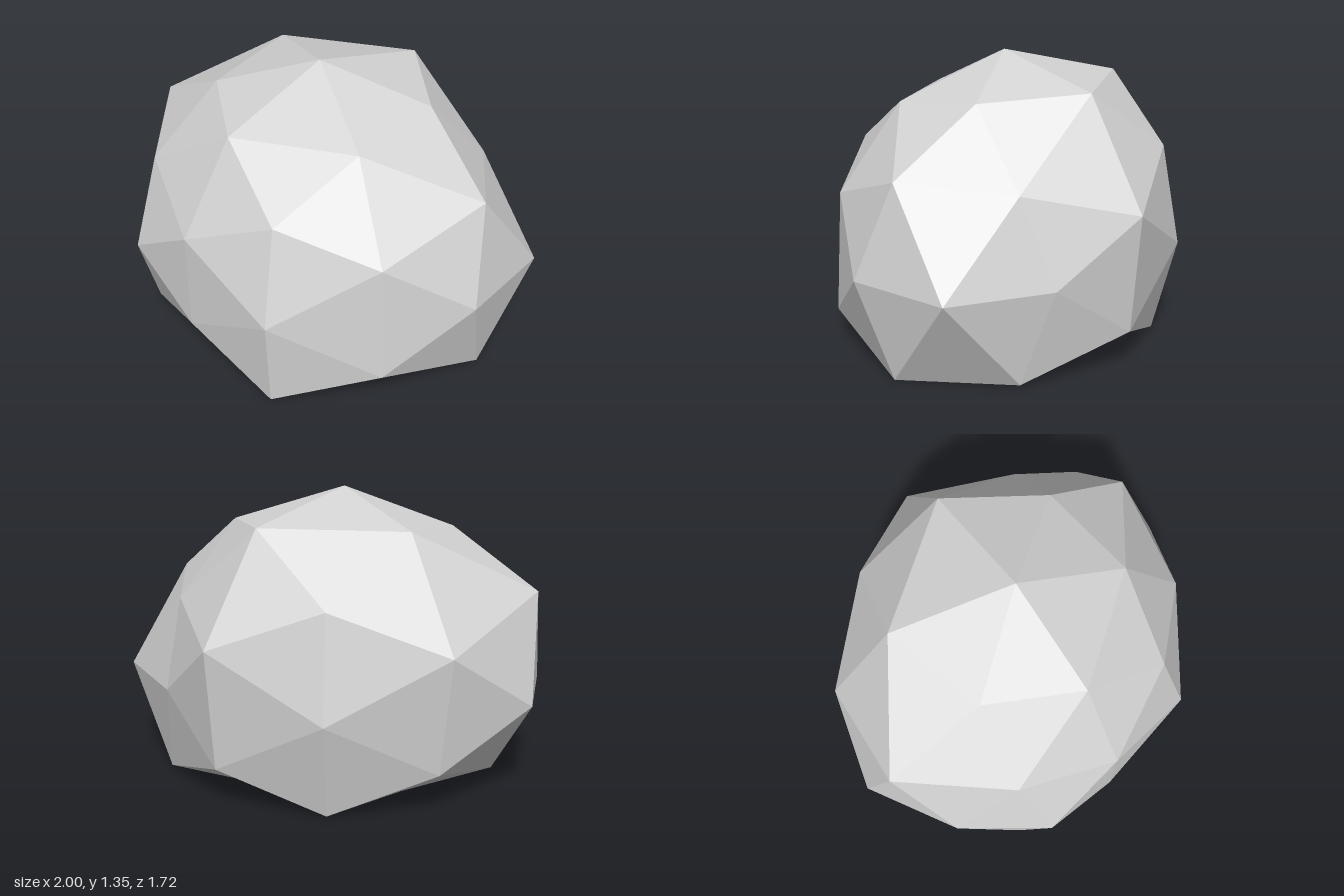
import * as THREE from 'three';

// Distance of each corner from the core, grouped by direction pattern.
// Order inside a group: sign octant = (x<0) + 2*(y<0) + 4*(z<0).
const RADII = {
  '10,0,0': [0.924, 0.815],
  '0,10,0': [0.903, 0, 0.87],
  '0,0,10': [0.858, 0, 0, 0, 0.858],
  '5,9,0': [0.87, 0.85, 0.87, 0.86],
  '0,5,9': [0.842, 0, 0.962, 0, 0.907, 0, 0.878],
  '9,0,5': [0.882, 0.818, 0, 0, 0.798, 0.904],
  '3,8,5': [0.85, 0.843, 0.97, 0.87, 0.957, 0.952, 0.87, 0.87],
  '8,5,3': [0.905, 0.808, 0.93, 0.85, 0.803, 0.967, 0.87, 0.777],
  '5,3,8': [0.827, 0.786, 0.86, 0.786, 0.918, 0.9, 0.868, 0.845],
};

// Small offsets for corners that sit off their ray
const NUDGE = {
  '5,3,8/0': [0, 0.024, 0],
  '5,3,8/2': [0, -0.03, 0],
  '5,3,8/5': [-0.018, 0, 0],
};

const CORE = new THREE.Vector3(-0.0625, 0.447, 0);
const STRETCH = new THREE.Vector3(1.15, 1, 1);

function placeCorner(dir) {
  const steps = dir.toArray().map((c) => Math.round(c * 10));
  const key = steps.map(Math.abs).join(',');
  const octant = (steps[0] < 0 ? 1 : 0) + (steps[1] < 0 ? 2 : 0) + (steps[2] < 0 ? 4 : 0);
  dir.multiplyScalar(RADII[key][octant]).multiply(STRETCH).add(CORE);
  const nudge = NUDGE[`${key}/${octant}`];
  if (nudge) dir.add(new THREE.Vector3(...nudge));
  dir.y = Math.max(0, dir.y); // flat base on the ground
  return dir;
}

export function createModel() {
  const model = new THREE.Group();
  model.name = 'rock';

  const stone = new THREE.MeshStandardMaterial({ color: 0xd3d3d3, flatShading: true });
  stone.name = 'pale stone grey';

  // Faceted boulder: a once-divided icosahedron with uneven corners
  const geometry = new THREE.IcosahedronGeometry(1, 1);
  const position = geometry.attributes.position;
  const corner = new THREE.Vector3();
  for (let i = 0; i < position.count; i++) {
    placeCorner(corner.fromBufferAttribute(position, i).normalize());
    position.setXYZ(i, corner.x, corner.y, corner.z);
  }
  geometry.computeVertexNormals();

  const boulder = new THREE.Mesh(geometry, stone);
  boulder.name = 'boulder';
  model.add(boulder);
  return model;
}
